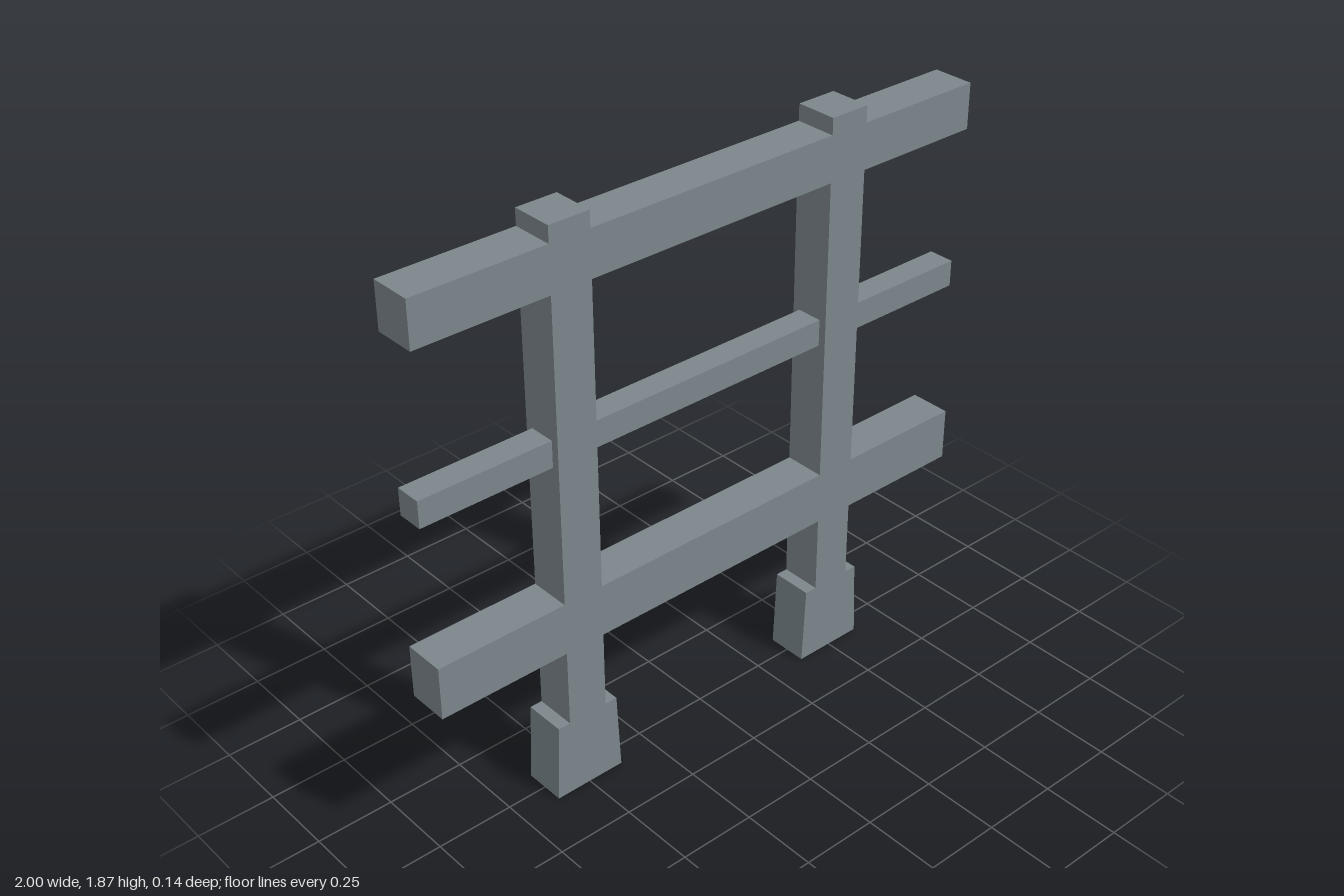
import * as THREE from 'three';

const DEPTH = 0.135;
const POST_X = 0.498;
const POST_HALF = 0.067;

export function createModel() {
  const fence = new THREE.Group();
  fence.name = 'fence';
  const material = new THREE.MeshStandardMaterial({ color: 0x7c868b, flatShading: true });

  const add = (parent, name, geometry) => {
    const mesh = new THREE.Mesh(geometry, material);
    mesh.name = name;
    parent.add(mesh);
  };

  // Box given by its x and y limits, centred on z
  const beam = (x0, x1, y0, y1, depth = DEPTH) =>
    new THREE.BoxGeometry(x1 - x0, y1 - y0, depth).translate((x0 + x1) / 2, (y0 + y1) / 2, 0);

  // Foot block: sides lean inwards towards the top, front and back stay vertical
  const footGeometry = (cx) => {
    const shape = new THREE.Shape([
      new THREE.Vector2(cx - 0.12, 0),
      new THREE.Vector2(cx + 0.12, 0),
      new THREE.Vector2(cx + 0.108, 0.26),
      new THREE.Vector2(cx - 0.108, 0.26),
    ]);
    return new THREE.ExtrudeGeometry(shape, { depth: DEPTH, bevelEnabled: false })
      .translate(0, 0, -DEPTH / 2);
  };

  // Each half carries a post, a foot and the rail pieces either side of the post
  for (const [side, sign] of [['left', 1], ['right', -1]]) {
    const half = new THREE.Group();
    half.name = `${side}Half`;
    const span = (a, b) => [Math.min(a * sign, b * sign), Math.max(a * sign, b * sign)];

    add(half, 'post', beam(...span(POST_X - POST_HALF, POST_X + POST_HALF), 0.26, 1.87));
    add(half, 'foot', footGeometry(POST_X * sign));
    for (const [name, y0, y1] of [['topRail', 1.672, 1.818], ['bottomRail', 0.517, 0.69]]) {
      add(half, `${name}Inner`, beam(...span(0, POST_X - POST_HALF), y0, y1));
      add(half, `${name}Outer`, beam(...span(POST_X + POST_HALF, 0.997), y0, y1));
    }
    fence.add(half);
  }

  // Thin middle rail running through both posts
  add(fence, 'middleRail', beam(-1, 1, 1.137, 1.223, 0.085));

  return fence;
}
